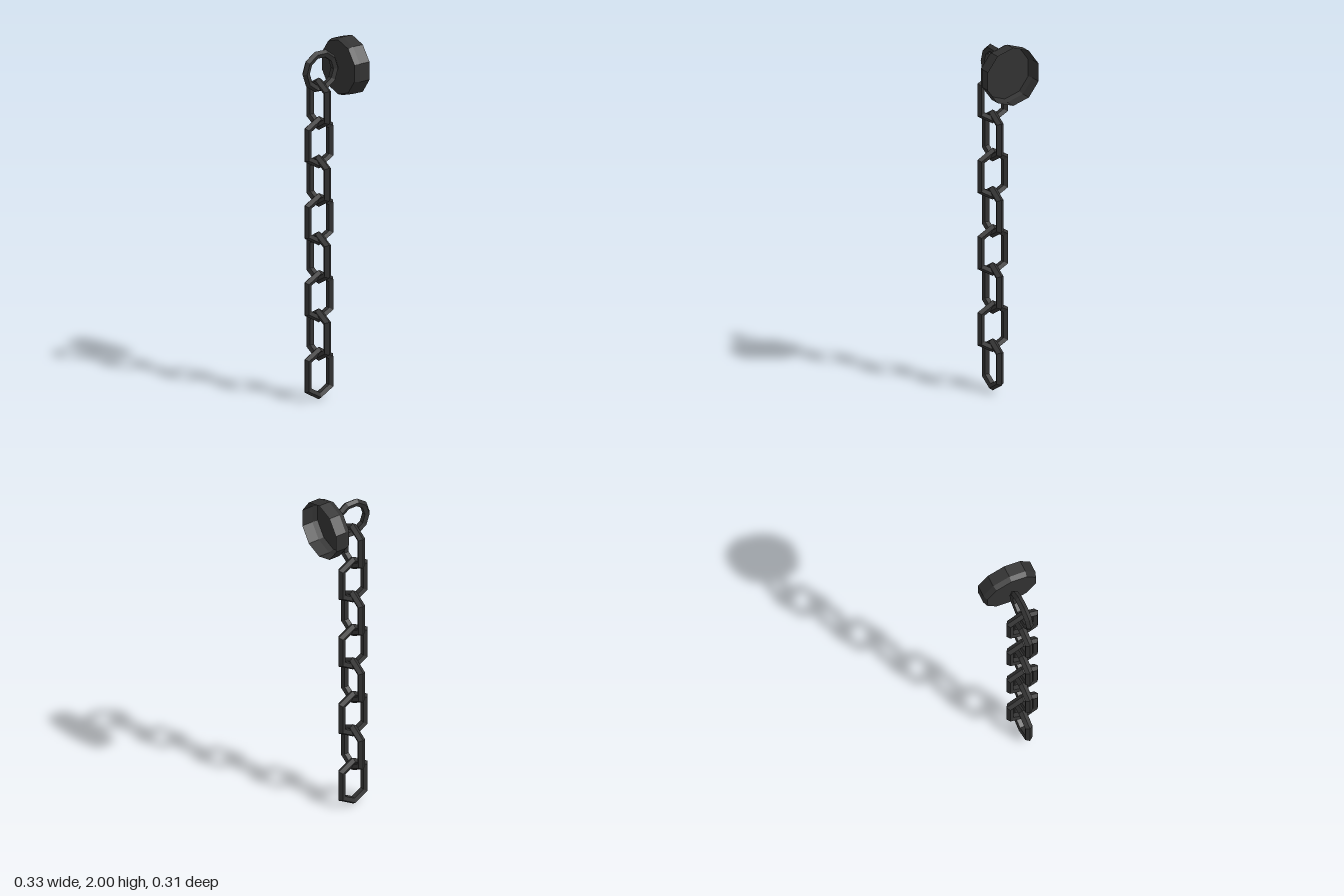
import * as THREE from 'three';

export function createModel() {
  const model = new THREE.Group();
  model.name = 'hangingChain';

  const iron = new THREE.MeshStandardMaterial({ color: 0x323232, flatShading: true, side: THREE.DoubleSide });
  iron.name = 'darkIron';

  function add(name, geometry, x, y) {
    const mesh = new THREE.Mesh(geometry, iron);
    mesh.name = name;
    mesh.position.set(x, y, 0);
    model.add(mesh);
    return mesh;
  }

  // Chain link: six-sided ring pulled apart along y to give long straight sides
  const linkGeometry = new THREE.TorusGeometry(0.086, 0.0225, 5, 6).rotateZ(Math.PI / 6);
  const pos = linkGeometry.attributes.position;
  for (let i = 0; i < pos.count; i++) {
    pos.setY(i, pos.getY(i) + Math.sign(pos.getY(i)) * 0.0385);
  }
  linkGeometry.computeVertexNormals();

  // Links alternate between facing front and facing sideways
  for (let i = 0; i < 8; i++) {
    const link = add('chainLink' + (i + 1), linkGeometry, -0.057, 0.147 + 0.2155 * i);
    if (i % 2) link.rotation.y = Math.PI / 2;
  }

  // Ring holding the chain
  add('topRing', new THREE.TorusGeometry(0.097, 0.0215, 5, 10), -0.047, 1.838);

  // Ten-sided wall mount: a bevelled cup, open towards +x
  const profile = [[0, 0], [0.152, 0], [0.163, 0.028], [0.163, 0.093]].map(p => new THREE.Vector2(...p));
  const mount = new THREE.LatheGeometry(profile, 10, Math.PI / 2).rotateZ(-Math.PI / 2);
  add('wallMount', mount, 0.072, 1.837);

  return model;
}
